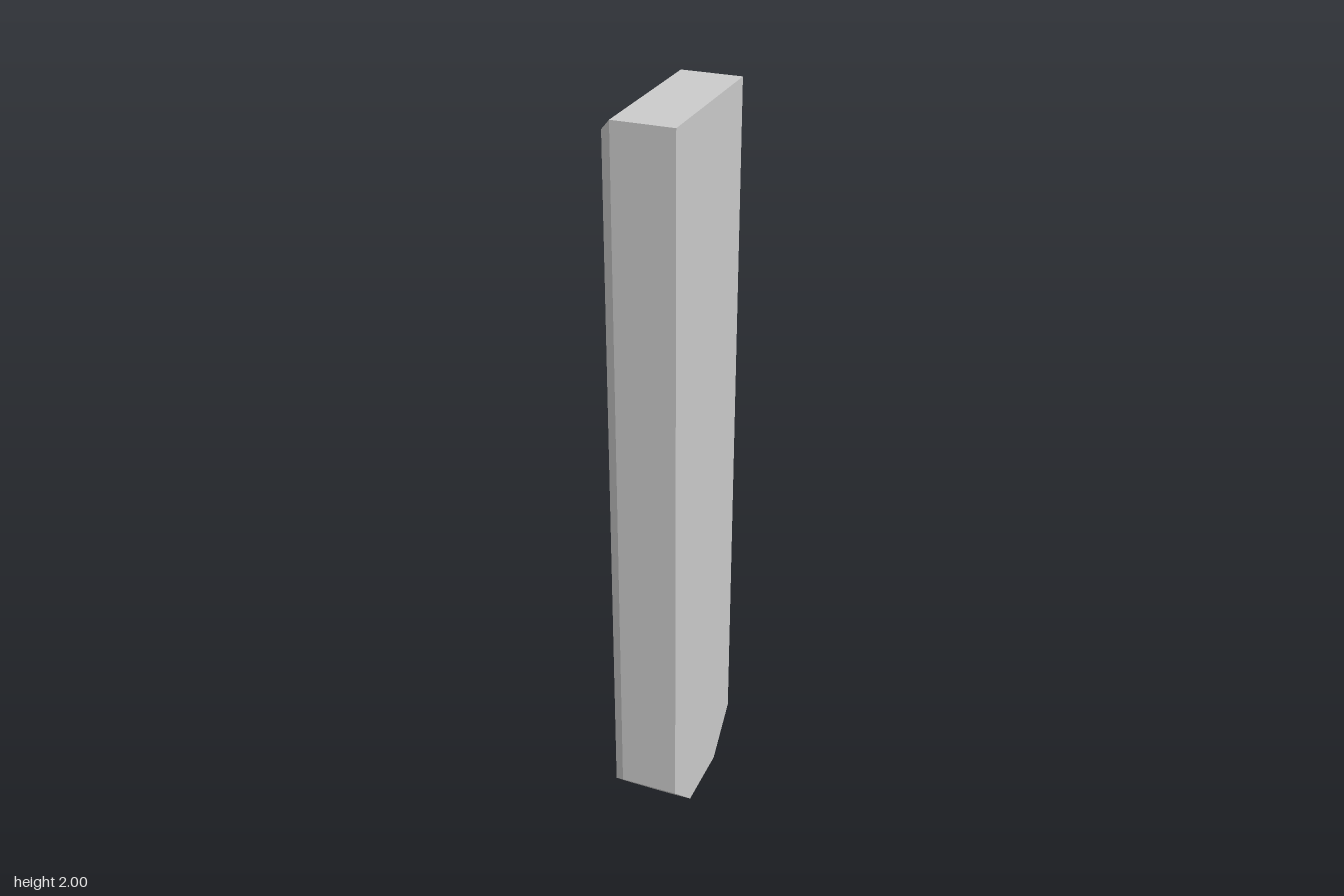
import * as THREE from 'three';
import { ConvexGeometry } from 'three/addons/geometries/ConvexGeometry.js';

export function createModel() {
  const group = new THREE.Group();
  group.name = 'pointedPost';

  // Corners of the front half: [x, y, z], mirrored to the back
  const corners = [
    // top end, with the bevelled right edge
    [0.093, 2, 0.205], [-0.06, 2, 0.205], [-0.095, 1.965, 0.17],
    // start of the 45 degree taper
    [0.093, 0.17, 0.205], [-0.06, 0.17, 0.205], [-0.095, 0.135, 0.17],
    // side tapers
    [0.093, 0.058, 0.093], [-0.095, 0.065, 0.1],
    // blunt tip
    [0.035, 0, 0.035], [-0.03, 0, 0.035],
  ];
  const points = [];
  for (const [x, y, z] of corners) {
    for (const side of [1, -1]) points.push(new THREE.Vector3(x, y, z * side));
  }

  const post = new THREE.Mesh(
    new ConvexGeometry(points),
    new THREE.MeshStandardMaterial({ color: 0xcccccc, flatShading: true })
  );
  post.name = 'post';
  group.add(post);
  return group;
}
